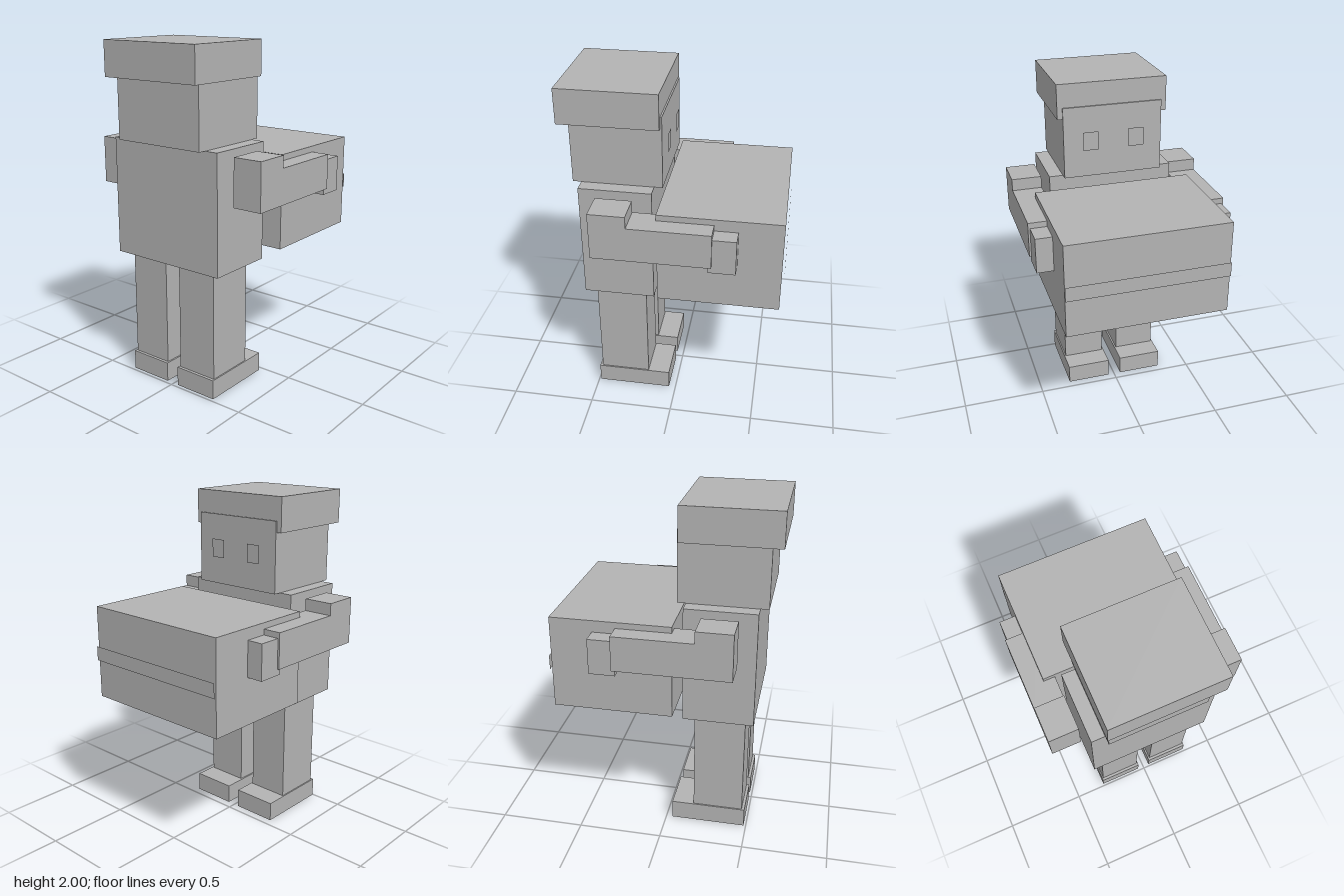
import * as THREE from 'three';

export function createModel() {
  const model = new THREE.Group();
  model.name = 'blockyCourier';
  const grey = new THREE.MeshStandardMaterial({ color: 0xb3b3b3, side: THREE.DoubleSide });
  grey.name = 'plainGrey';

  const add = (name, geometry) => {
    const mesh = new THREE.Mesh(geometry, grey);
    mesh.name = name;
    model.add(mesh);
    return mesh;
  };
  // box from its lower and upper limits on each axis
  const block = (name, [x0, x1], [y0, y1], [z0, z1]) =>
    add(name, new THREE.BoxGeometry(x1 - x0, y1 - y0, z1 - z0))
      .position.set((x0 + x1) / 2, (y0 + y1) / 2, (z0 + z1) / 2);
  // limits mirrored to the chosen side
  const flip = (s, a, b) => (s > 0 ? [a, b] : [-b, -a]);
  // flat plate facing -z
  const plate = (name, w, h, x, y, z) => {
    const mesh = add(name, new THREE.PlaneGeometry(w, h));
    mesh.rotation.y = Math.PI;
    mesh.position.set(x, y, z);
  };

  // head, cap and body
  block('cap', [-0.32, 0.32], [1.8, 2], [0.073, 0.632]);
  block('head', [-0.29, 0.29], [1.45, 1.865], [0.064, 0.57]);
  block('torso', [-0.37, 0.37], [0.765, 1.45], [0.112, 0.522]);

  // carried parcel with its tape band
  block('parcel', [-0.467, 0.467], [0.83, 1.38], [-0.618, 0.072]);
  plate('parcelTape', 0.934, 0.085, 0, 1.1, -0.632);

  // arm side outline: raised shoulder and lower forearm, drawn as (-z, y)
  const outline = new THREE.Shape([
    [-0.42, 1.14], [0.243, 1.14], [0.243, 1.345], [-0.215, 1.345], [-0.215, 1.415], [-0.42, 1.415],
  ].map(([a, b]) => new THREE.Vector2(a, b)));
  const armGeometry = new THREE.ExtrudeGeometry(outline, { depth: 0.175, bevelEnabled: false });
  armGeometry.rotateY(Math.PI / 2);

  for (const s of [1, -1]) {
    const side = s > 0 ? 'left' : 'right';
    add(side + 'Arm', armGeometry).position.x = s > 0 ? 0.399 : -0.574;
    block(side + 'Hand', flip(s, 0.46, 0.563), [1.105, 1.312], [-0.374, -0.224]);
    block(side + 'Leg', flip(s, 0.05, 0.3), [0.12, 0.765], [0.172, 0.47]);
    block(side + 'Shoe', flip(s, 0.04, 0.308), [0.006, 0.122], [0.04, 0.487]);

    // thin sole sheet under the shoe
    const sole = add(side + 'Sole', new THREE.PlaneGeometry(0.19, 0.32));
    sole.rotation.x = -Math.PI / 2;
    sole.position.set(s * 0.174, 0, 0.262);

    plate(side + 'Eye', 0.09, 0.108, s * 0.135, 1.665, 0.05);
  }
  return model;
}
